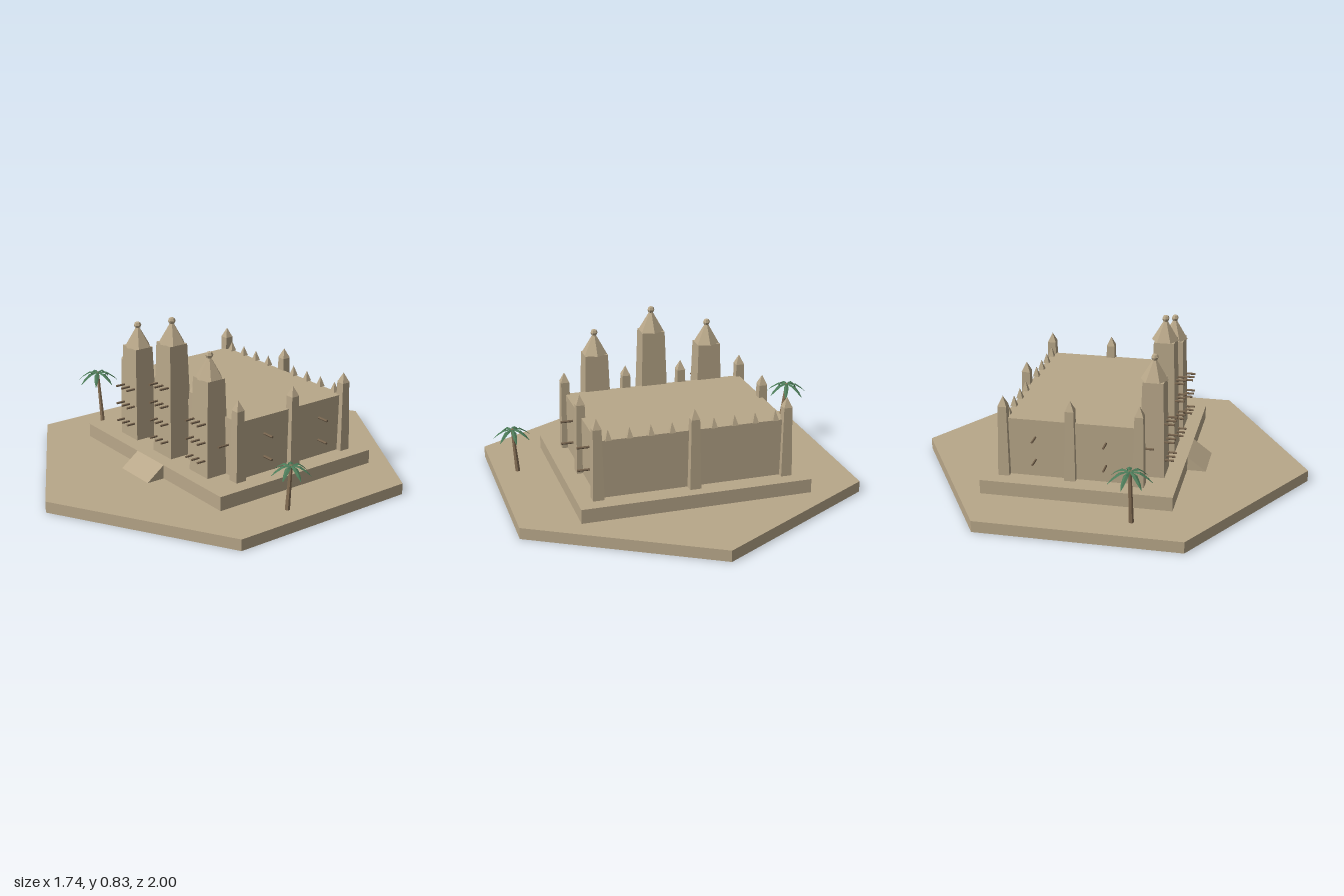
import * as THREE from 'three';

export function createModel() {
  const model = new THREE.Group();
  const material = (name, color) => {
    const m = new THREE.MeshStandardMaterial({ color, flatShading: true });
    m.name = name;
    return m;
  };
  const clay = material('clay', 0xb8a789);
  const wood = material('wood', 0x77644e);
  const trunkBark = material('trunk bark', 0x8a7358);
  const leaf = material('palm leaf', 0x4c7a58);
  leaf.side = THREE.DoubleSide;

  const add = (name, geometry, mat, x, y, z, parent = model) => {
    const mesh = new THREE.Mesh(geometry, mat);
    mesh.name = name;
    mesh.position.set(x, y, z);
    parent.add(mesh);
    return mesh;
  };

  // Rectangular block from y0 to y1
  const block = (name, w, d, y0, y1, x, z) =>
    add(name, new THREE.BoxGeometry(w, y1 - y0, d), clay, x, (y0 + y1) / 2, z);

  // Square tapering shaft; a top of zero gives a pyramid
  const taper = (name, bottom, top, y0, y1, x, z, depth = 1) => {
    const g = new THREE.CylinderGeometry(top / Math.SQRT2, bottom / Math.SQRT2, y1 - y0, 4);
    g.rotateY(Math.PI / 4).scale(1, 1, depth);
    return add(name, g, clay, x, (y0 + y1) / 2, z);
  };

  // Ground and platform
  const baseTop = 0.057, floor = 0.128, roof = 0.42;
  add('hexagonalGround', new THREE.CylinderGeometry(1, 1, baseTop, 6), clay, 0, baseTop / 2, 0);
  block('platform', 1.16, 0.945, baseTop, floor, 0, -0.0725);
  block('hall', 0.95, 0.66, floor, roof, 0, -0.115);

  // Entrance ramp, extruded from its side profile
  const profile = new THREE.Shape();
  profile.moveTo(-0.4, baseTop);
  profile.lineTo(-0.4, floor);
  profile.lineTo(-0.495, baseTop);
  const rampGeometry = new THREE.ExtrudeGeometry(profile, { depth: 0.23, bevelEnabled: false });
  rampGeometry.translate(0, 0, -0.115).rotateY(Math.PI / 2);
  add('ramp', rampGeometry, clay, 0, 0, 0);

  // Wooden beams sticking out of the walls
  const beam = (x, y, z, length, alongX = false) => {
    const g = new THREE.CylinderGeometry(0.006, 0.006, length, 6);
    if (alongX) g.rotateZ(Math.PI / 2);
    else g.rotateX(Math.PI / 2);
    add('beam', g, wood, x, y, z);
  };

  // Three main towers with hexagonal spires and finials
  for (const [x, top, rows, width] of [[0, 0.705, 4, 0.155], [-0.305, 0.61, 3, 0.148], [0.305, 0.61, 3, 0.148]]) {
    taper('towerShaft', width, 0.118, floor, top, x, 0.262, 0.86);
    add('towerSpire', new THREE.ConeGeometry(0.068, 0.115, 6), clay, x, top + 0.0575, 0.26);
    add('finial', new THREE.SphereGeometry(0.019, 6, 4), clay, x, top + 0.111, 0.26);
    for (let row = 0; row < rows; row++)
      for (const dx of [-0.047, 0, 0.047]) beam(x + dx, 0.212 + row * 0.094, 0.33, 0.075);
  }

  // Slim turrets at the corners and along the walls
  const turret = (x, z) => {
    taper('turretShaft', 0.056, 0.042, floor, 0.485, x, z);
    taper('turretCap', 0.044, 0, 0.485, 0.535, x, z);
  };
  for (const side of [-1, 1]) {
    for (const z of [-0.445, -0.115, 0.22]) turret(side * 0.477, z);
    turret(side * 0.15, 0.23);
    // Beams on the side walls and beside the outer towers
    for (const z of [-0.29, 0.058])
      for (const y of [0.212, 0.33]) beam(side * 0.5, y, z, 0.074, true);
    beam(side * 0.395, 0.283, 0.24, 0.07);
    // Spikes on the back parapet
    for (let i = 1; i <= 4; i++) taper('parapetSpike', 0.032, 0, roof, 0.472, side * i * 0.105, -0.438);
  }
  turret(0, -0.46);

  // Folded, drooping palm frond pointing along +x
  const frondGeometry = (r) => {
    const sections = [[0, 0, 0.004], [0.45, 0.0, 0.013], [0.8, -0.25, 0.009], [1.03, -0.5, 0.001]];
    const positions = [], index = [];
    sections.forEach(([t, y, w], i) => {
      positions.push(t * r, y * r - w * 0.5, -w, t * r, y * r, 0, t * r, y * r - w * 0.5, w);
      if (i === 0) return;
      for (let k = 0; k < 2; k++) {
        const a = (i - 1) * 3 + k, b = a + 3;
        index.push(a, a + 1, b, a + 1, b + 1, b);
      }
    });
    const g = new THREE.BufferGeometry();
    g.setAttribute('position', new THREE.Float32BufferAttribute(positions, 3));
    g.setIndex(index);
    g.computeVertexNormals();
    return g;
  };

  // Leaning palm trees
  const palm = (name, foot, crown, r, turn) => {
    const tree = new THREE.Group();
    tree.name = name;
    model.add(tree);
    const a = new THREE.Vector3(...foot), b = new THREE.Vector3(...crown);
    const dir = b.clone().sub(a);
    const mid = a.clone().add(b).multiplyScalar(0.5);
    const trunk = add('palmTrunk', new THREE.CylinderGeometry(0.008, 0.013, dir.length(), 6), trunkBark, mid.x, mid.y, mid.z, tree);
    trunk.quaternion.setFromUnitVectors(new THREE.Vector3(0, 1, 0), dir.normalize());
    const g = frondGeometry(r);
    for (let i = 0; i < 7; i++) {
      const frond = add('palmFrond', g, leaf, b.x, b.y, b.z, tree);
      frond.rotation.y = turn + (i * Math.PI * 2) / 7;
    }
  };
  palm('rightPalm', [-0.725, baseTop, 0.23], [-0.763, 0.335, 0.23], 0.105, 0.25);
  palm('leftPalm', [0.752, baseTop, 0.14], [0.771, 0.288, 0.14], 0.093, 0.7);

  return model;
}
